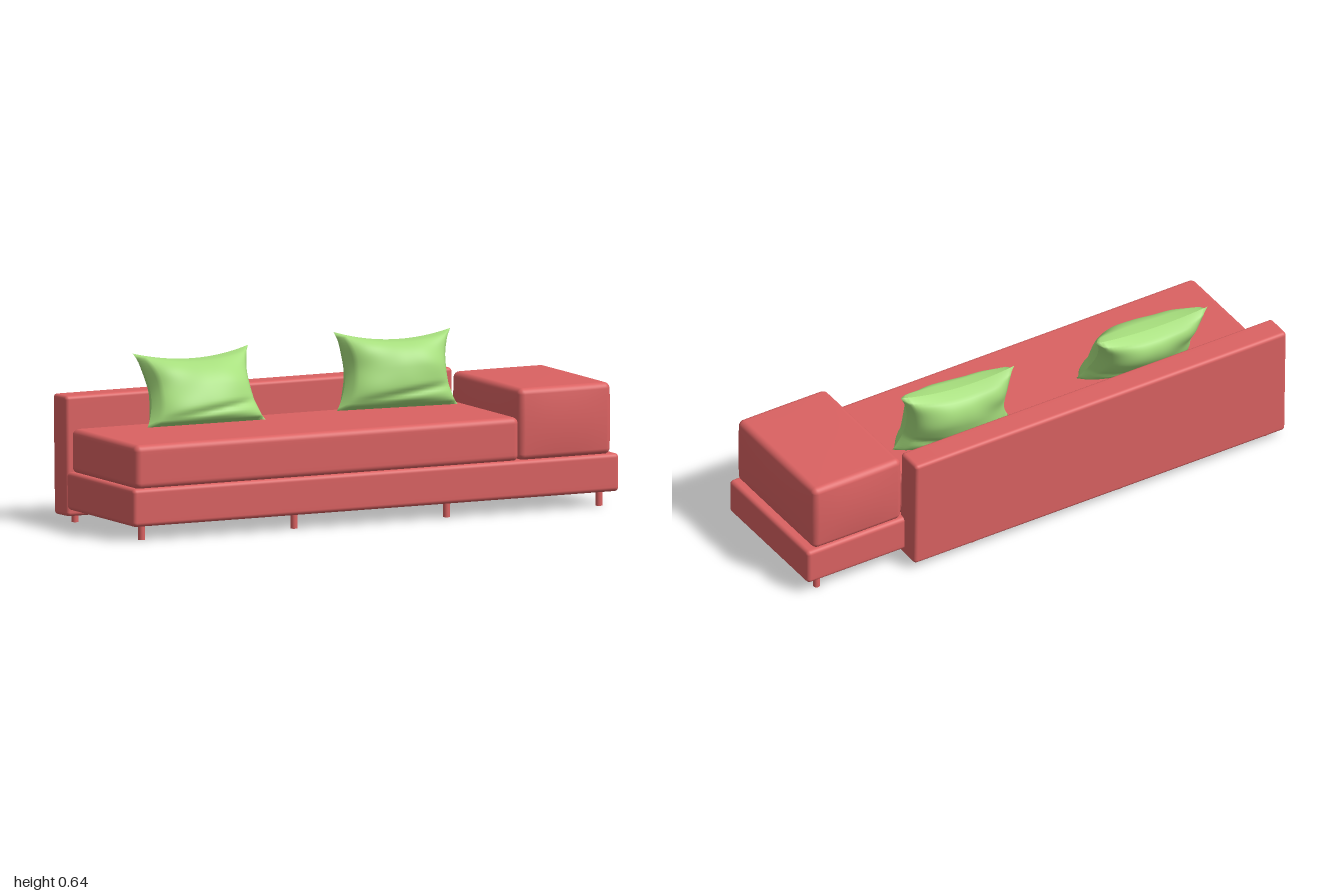
import * as THREE from 'three';
import { mergeVertices, mergeGeometries } from 'three/addons/utils/BufferGeometryUtils.js';

const red = new THREE.MeshStandardMaterial({ color: 0xdb6262 });
const green = new THREE.MeshStandardMaterial({ color: 0xa8e07e });

// Rounded box between two corners; bulge = outward swelling of the faces along x, y, z
function softBox(name, min, max, r, bulge = [0, 0, 0]) {
  const lo = new THREE.Vector3(...min), hi = new THREE.Vector3(...max);
  const half = hi.clone().sub(lo).multiplyScalar(0.5);
  const N = 16, E = 4; // segments per side, of which E lie in each rounded edge
  const geo = new THREE.BoxGeometry(N, N, N, N, N, N);
  const pos = geo.attributes.position;
  const p = new THREE.Vector3(), inner = new THREE.Vector3(), q = new THREE.Vector3();
  const place = (k, h) => {
    const a = Math.abs(k), flat = N / 2 - E;
    const d = a <= flat ? (a / flat) * (h - r) : h - r + r * Math.tan(((a - flat) / E) * Math.PI / 4);
    return Math.sign(k) * d;
  };
  for (let i = 0; i < pos.count; i++) {
    p.fromBufferAttribute(pos, i);
    p.set(place(p.x, half.x), place(p.y, half.y), place(p.z, half.z));
    inner.copy(p).clamp(half.clone().subScalar(r).negate(), half.clone().subScalar(r));
    p.sub(inner).setLength(r).add(inner);
    q.copy(p).divide(half);
    const f = [1 - q.x * q.x, 1 - q.y * q.y, 1 - q.z * q.z];
    p.x += q.x * bulge[0] * f[1] * Math.sqrt(Math.max(f[2], 0));
    p.y += q.y * bulge[1] * f[0] * f[2];
    p.z += q.z * bulge[2] * f[1] * Math.sqrt(Math.max(f[0], 0));
    pos.setXYZ(i, p.x, p.y, p.z);
  }
  geo.deleteAttribute('uv');
  geo.deleteAttribute('normal');
  const smooth = mergeVertices(geo, 1e-5);
  smooth.computeVertexNormals();
  const mesh = new THREE.Mesh(smooth, red);
  mesh.name = name;
  mesh.position.copy(lo).add(hi).multiplyScalar(0.5);
  return mesh;
}

// Throw pillow: two swollen sheets that meet in a seam with four pointed corners
function pillow(name, [bl, br, tl, tr], depth, floor) {
  const c = [bl, br, tl, tr].map((a) => new THREE.Vector3(...a));
  const sheet = (side) => {
    const geo = new THREE.PlaneGeometry(2, 2, 28, 28);
    const pos = geo.attributes.position;
    const p = new THREE.Vector3(), top = new THREE.Vector3();
    for (let i = 0; i < pos.count; i++) {
      const u = pos.getX(i) * side, v = pos.getY(i);
      // seam pulled in between the corners
      const s = u * (1 - 0.17 * (1 - v * v));
      const t = v > 0 ? v * (1 - 0.24 * (1 - u * u)) : v;
      p.lerpVectors(c[0], c[1], (s + 1) / 2);
      top.lerpVectors(c[2], c[3], (s + 1) / 2);
      p.lerp(top, (t + 1) / 2);
      // filling, with soft creases running in from the corners and a fold near the bottom
      const fill = Math.sqrt(Math.max((1 - u * u) * (1 - v * v), 0));
      const sag = v < 0 ? 1 + 0.25 * v * v : 1;
      const crease = 0.008 * Math.sin(7 * u * v + 2 * u) * Math.abs(u) * (1 - u * u)
        - 0.012 * Math.exp(-(((v + 0.68 - 0.2 * u) / 0.1) ** 2)) * (1 - u * u);
      const d = side * (depth * Math.pow(fill, 0.85) * sag + crease * (1 - v * v) * 2);
      p.z += d * 0.98;
      p.y = Math.max(p.y + d * 0.18, floor + 0.004 * (1 - v));
      pos.setXYZ(i, p.x, p.y, p.z);
    }
    geo.computeVertexNormals();
    return geo;
  };
  const mesh = new THREE.Mesh(mergeGeometries([sheet(1), sheet(-1)]), green);
  mesh.name = name;
  return mesh;
}

export function createModel() {
  const sofa = new THREE.Group();
  sofa.name = 'sofa';

  // Upholstered body
  sofa.add(softBox('base', [-0.995, 0.053, -0.232], [0.998, 0.192, 0.31], 0.016));
  sofa.add(softBox('seatCushion', [-0.982, 0.188, -0.205], [0.592, 0.35, 0.304], 0.024));
  sofa.add(softBox('armCushion', [0.592, 0.19, -0.226], [0.968, 0.453, 0.302], 0.022, [0.008, 0.003, 0.011]));
  const back = softBox('backrest', [-1, 0.028, -0.306], [0.585, 0.468, -0.2], 0.014);
  back.rotation.x = -0.023;
  sofa.add(back);

  // Legs: a front row, a row under the backrest and one behind the arm
  const legs = new THREE.Group();
  legs.name = 'legs';
  const addLeg = (x, z) => {
    const leg = new THREE.Mesh(new THREE.CylinderGeometry(0.0128, 0.0128, 0.06, 20), red);
    leg.name = 'leg';
    leg.position.set(x, 0.03, z);
    legs.add(leg);
  };
  [-0.94, -0.315, 0.31, 0.935].forEach((x, i) => {
    addLeg(x, 0.267);
    addLeg(x, i < 3 ? -0.25 : -0.19);
  });
  sofa.add(legs);

  // Throw pillows leaning on the backrest (corners: bottom pair, then top pair)
  sofa.add(pillow('rightPillow', [
    [-0.75, 0.358, -0.045], [-0.28, 0.36, -0.02],
    [-0.735, 0.61, -0.19], [-0.27, 0.613, -0.175]], 0.105, 0.35));
  sofa.add(pillow('leftPillow', [
    [0.05, 0.36, -0.09], [0.52, 0.36, -0.045],
    [0.075, 0.638, -0.165], [0.525, 0.63, -0.11]], 0.1, 0.35));

  return sofa;
}
